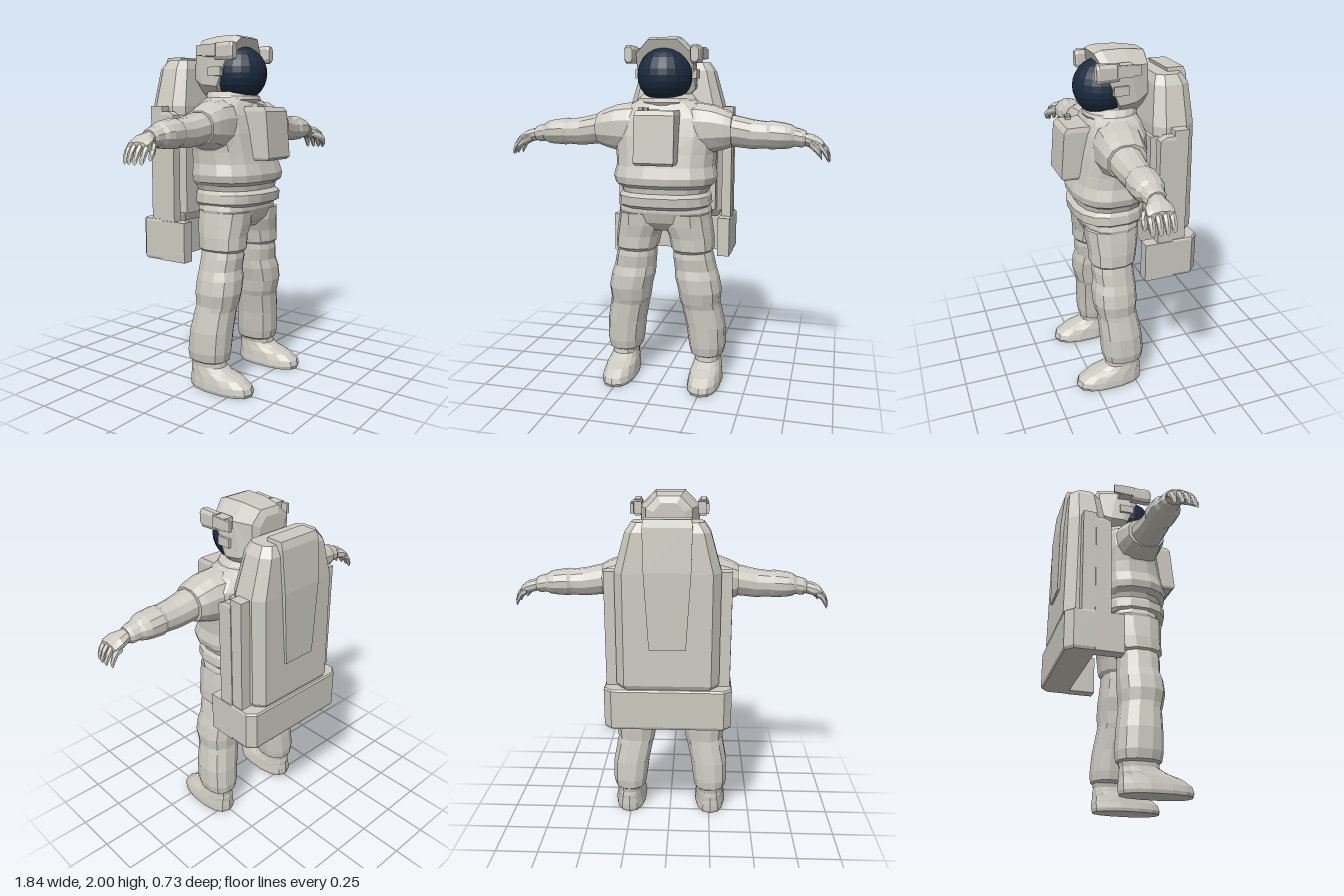
import * as THREE from 'three';

const suit = new THREE.MeshStandardMaterial({ color: 0xcccac0, flatShading: true });
suit.name = 'suit fabric';
const glass = new THREE.MeshStandardMaterial({ color: 0x1b2b40, flatShading: true });
glass.name = 'dark visor';

// Cross-section outlines on the unit square
function round(n, p = 1) {
  return Array.from({ length: n }, (_, i) => {
    const a = ((i + 0.5) / n) * Math.PI * 2, c = Math.cos(a), s = Math.sin(a);
    return [Math.sign(c) * Math.abs(c) ** p, Math.sign(s) * Math.abs(s) ** p];
  });
}
const chamfered = (k, m = k) => [[1, -m], [1, m], [k, 1], [-k, 1], [-1, m], [-1, -m], [-k, -1], [k, -1]];
const square = [[1, -1], [1, 1], [-1, 1], [-1, -1]];

// Skin a row of cross-sections. Each ring is [t, a0, a1, b0, b1]:
// axis y: a = x, b = z | axis x: a = z, b = y | axis z: a = y, b = x
function loft(axis, rings, outline = round(12)) {
  const put = { y: (t, a, b) => [a, t, b], x: (t, a, b) => [t, b, a], z: (t, a, b) => [b, a, t] }[axis];
  const n = outline.length, pos = [], idx = [];
  for (const [t, a0, a1, b0, b1] of rings)
    for (const [c, s] of outline)
      pos.push(...put(t, (a0 + a1) / 2 + (c * (a1 - a0)) / 2, (b0 + b1) / 2 + (s * (b1 - b0)) / 2));
  for (let i = 0; i < rings.length - 1; i++)
    for (let j = 0; j < n; j++) {
      const k = (j + 1) % n, A = i * n + j, B = i * n + k;
      idx.push(A, A + n, B, B, A + n, B + n);
    }
  const top = (rings.length - 1) * n;
  for (let j = 1; j < n - 1; j++) idx.push(0, j, j + 1, top, top + j + 1, top + j);
  const g = new THREE.BufferGeometry();
  g.setAttribute('position', new THREE.Float32BufferAttribute(pos, 3));
  g.setIndex(idx);
  return finish(g);
}
function finish(g) {
  const flat = g.index ? g.toNonIndexed() : g;
  flat.computeVertexNormals();
  return flat;
}
// Box from ranges
function block(x0, x1, y0, y1, z0, z1) {
  const g = new THREE.BoxGeometry(x1 - x0, y1 - y0, z1 - z0);
  return g.translate((x0 + x1) / 2, (y0 + y1) / 2, (z0 + z1) / 2);
}
// Mirror across x = 0 and restore the corner order
function mirrored(g) {
  const m = g.index ? g.toNonIndexed() : g.clone();
  m.scale(-1, 1, 1);
  const p = m.attributes.position;
  for (let i = 0; i < p.count; i += 3) {
    const b = [p.getX(i + 1), p.getY(i + 1), p.getZ(i + 1)];
    p.setXYZ(i + 1, p.getX(i + 2), p.getY(i + 2), p.getZ(i + 2));
    p.setXYZ(i + 2, ...b);
  }
  return finish(m);
}

export function createModel() {
  const model = new THREE.Group();
  model.name = 'astronaut';
  const add = (name, g, mat = suit) => {
    const mesh = new THREE.Mesh(g, mat);
    mesh.name = name;
    model.add(mesh);
  };
  const pair = (name, g) => {
    add(name + 'Left', g);
    add(name + 'Right', mirrored(g));
  };
  const sym = (t, r, b0, b1) => [t, -r, r, b0, b1];

  // Torso with a bulging belly fold, then belt and hips
  add('torso', loft('y', [
    sym(1.16, 0.25, -0.12, 0.26), sym(1.19, 0.29, -0.13, 0.3), sym(1.23, 0.3, -0.13, 0.305),
    sym(1.29, 0.285, -0.13, 0.285), sym(1.36, 0.29, -0.13, 0.27), sym(1.46, 0.31, -0.13, 0.25),
    sym(1.56, 0.29, -0.12, 0.225), sym(1.62, 0.235, -0.1, 0.2), sym(1.655, 0.17, -0.08, 0.18),
  ], round(16, 0.8)));
  add('belt', loft('y', [
    sym(1.05, 0.25, -0.11, 0.26), sym(1.07, 0.27, -0.12, 0.295), sym(1.12, 0.265, -0.12, 0.3),
    sym(1.14, 0.25, -0.11, 0.27), sym(1.18, 0.265, -0.12, 0.275),
  ], round(16, 0.8)));
  add('hips', loft('y', [
    sym(0.92, 0.18, 0, 0.19), sym(0.97, 0.255, -0.06, 0.235), sym(1.03, 0.27, -0.09, 0.255),
    sym(1.06, 0.26, -0.09, 0.255),
  ], round(16, 0.8)));
  add('collar', loft('y', [
    sym(1.62, 0.165, -0.09, 0.19), sym(1.645, 0.175, -0.1, 0.205), sym(1.665, 0.165, -0.1, 0.2),
    sym(1.69, 0.14, -0.1, 0.16),
  ], round(16)));

  // Legs
  pair('shortsLeg', loft('y', [
    [0.79, 0.06, 0.27, -0.02, 0.215], [0.81, 0.045, 0.29, -0.035, 0.235],
    [0.88, 0.03, 0.287, -0.045, 0.235], [0.95, 0.0, 0.277, -0.06, 0.245], [1.02, 0.01, 0.265, -0.06, 0.25],
  ], round(12, 0.85)));
  pair('leg', loft('y', [
    [0.15, 0.185, 0.32, -0.03, 0.15], [0.17, 0.155, 0.352, -0.055, 0.185], [0.22, 0.145, 0.362, -0.06, 0.195],
    [0.34, 0.13, 0.358, -0.05, 0.2], [0.46, 0.105, 0.335, -0.03, 0.205], [0.49, 0.095, 0.33, -0.025, 0.215],
    [0.56, 0.085, 0.337, -0.03, 0.23], [0.64, 0.065, 0.322, -0.03, 0.228], [0.69, 0.062, 0.305, -0.025, 0.215],
    [0.76, 0.055, 0.29, -0.02, 0.222], [0.84, 0.055, 0.27, -0.02, 0.21],
  ], round(12, 0.85)));
  pair('boot', loft('y', [
    [0, 0.165, 0.35, -0.045, 0.355], [0.018, 0.16, 0.355, -0.05, 0.362], [0.05, 0.165, 0.352, -0.05, 0.352],
    [0.085, 0.17, 0.345, -0.045, 0.3], [0.11, 0.178, 0.338, -0.045, 0.22], [0.135, 0.182, 0.332, -0.04, 0.175],
    [0.165, 0.175, 0.335, -0.045, 0.17],
  ], round(14, 0.85)));

  // Shoulder, sleeve and cuff
  pair('shoulder', loft('x', [
    [0.1, -0.08, 0.2, 1.36, 1.645], [0.2, -0.07, 0.215, 1.35, 1.645], [0.28, -0.05, 0.215, 1.365, 1.632],
    [0.35, -0.035, 0.21, 1.385, 1.605], [0.39, -0.02, 0.2, 1.4, 1.585],
  ], round(12, 0.85)));
  pair('sleeve', loft('x', [
    [0.37, 0, 0.19, 1.405, 1.575], [0.4, 0, 0.19, 1.4, 1.578], [0.5, 0.01, 0.18, 1.39, 1.555],
    [0.58, 0.015, 0.175, 1.395, 1.545], [0.6, 0.005, 0.185, 1.39, 1.55], [0.68, 0.01, 0.185, 1.395, 1.538],
    [0.71, 0.02, 0.175, 1.4, 1.53], [0.73, 0.035, 0.16, 1.41, 1.515], [0.77, 0.04, 0.155, 1.405, 1.505],
    [0.79, 0.055, 0.145, 1.415, 1.495],
  ]));
  // Glove with curled fingers
  pair('palm', loft('x', [
    [0.77, 0.06, 0.14, 1.42, 1.49], [0.8, 0.055, 0.15, 1.41, 1.485], [0.84, 0.04, 0.18, 1.4, 1.475],
    [0.87, 0.04, 0.185, 1.395, 1.455], [0.885, 0.05, 0.18, 1.395, 1.44],
  ], round(10)));
  for (let i = 0; i < 4; i++) {
    const z = 0.056 + i * 0.037, r = 0.017, d = [0.012, 0, 0, 0.008][i];
    pair('finger' + (i + 1), loft('x', [
      [0.86 - d, z - r, z + r, 1.4, 1.44], [0.888 - d, z - r, z + r, 1.385, 1.432],
      [0.91 - d, z - r, z + r, 1.352, 1.405], [0.922 - d, z - r * 0.8, z + r * 0.8, 1.332, 1.37],
    ], round(6)));
  }
  pair('thumb', loft('x', [
    [0.81, 0.12, 0.155, 1.41, 1.46], [0.84, 0.155, 0.197, 1.39, 1.44],
    [0.868, 0.172, 0.21, 1.365, 1.41], [0.88, 0.18, 0.205, 1.35, 1.385],
  ], round(6)));

  // Helmet shell, its front rim sheared forward at the top
  const shell = loft('z', [
    [-0.14, 1.74, 1.95, -0.085, 0.085], [-0.125, 1.7, 1.985, -0.125, 0.125], [-0.04, 1.65, 2.0, -0.155, 0.155],
    [0.05, 1.64, 2.0, -0.167, 0.167], [0.085, 1.64, 1.985, -0.163, 0.163],
  ], chamfered(0.55, 0.5));
  const sp = shell.attributes.position;
  for (let i = 0; i < sp.count; i++) {
    const z = sp.getZ(i);
    sp.setZ(i, z + (sp.getY(i) - 1.8) * 0.4 * ((z + 0.14) / 0.21));
  }
  add('helmetShell', finish(shell));
  const visor = new THREE.SphereGeometry(0.155, 20, 14);
  add('visor', visor.translate(0, 1.792, 0.1), glass);
  pair('lamp', loft('z', [
    [0.065, 1.86, 1.95, 0.16, 0.21], [0.175, 1.855, 1.955, 0.16, 0.214], [0.19, 1.865, 1.945, 0.165, 0.208],
  ], chamfered(0.6)));
  pair('lampArm', block(0.155, 0.215, 1.88, 1.945, -0.01, 0.08));
  pair('lampRail', block(0.198, 0.216, 1.885, 1.94, -0.05, 0.07));
  pair('visorHinge', block(0.145, 0.178, 1.775, 1.825, 0, 0.085));

  // Chest control box with small knobs
  add('chestBox', loft('y', [
    sym(1.31, 0.105, 0.2, 0.35), sym(1.325, 0.112, 0.2, 0.368), sym(1.58, 0.112, 0.2, 0.345),
    sym(1.605, 0.105, 0.2, 0.325),
  ], square));
  add('chestKnobLarge', block(-0.105, -0.08, 1.59, 1.622, 0.25, 0.285));
  add('chestKnobSmall', block(-0.07, -0.05, 1.59, 1.618, 0.26, 0.29));

  // Backpack
  add('packBody', loft('y', [
    sym(0.95, 0.265, -0.335, -0.13), sym(0.99, 0.285, -0.355, -0.12), sym(1.61, 0.285, -0.345, -0.11),
    sym(1.82, 0.225, -0.33, -0.135), sym(1.87, 0.19, -0.3, -0.155),
  ], chamfered(0.84, 0.5)));
  add('packPanel', loft('y', [
    sym(1.2, 0.1, -0.365, -0.3), sym(1.62, 0.125, -0.366, -0.3), sym(1.85, 0.13, -0.345, -0.24),
    sym(1.89, 0.125, -0.33, -0.23),
  ], square));
  add('packMount', block(-0.26, 0.26, 1.0, 1.56, -0.2, -0.09));
  pair('packRail', loft('y', [
    [0.95, 0.295, 0.35, -0.2, -0.11], [1.56, 0.295, 0.35, -0.2, -0.11], [1.58, 0.295, 0.345, -0.2, -0.15],
  ], square));
  pair('packRailRear', block(0.275, 0.345, 0.95, 1.61, -0.275, -0.195));

  // Lower thruster base: back bar with side blocks reaching forward
  add('packBase', loft('y', [
    sym(0.73, 0.35, -0.355, -0.19), sym(0.745, 0.356, -0.362, -0.19),
    sym(0.955, 0.356, -0.362, -0.19), sym(0.965, 0.35, -0.355, -0.19),
  ], [[1, -0.5], [1, 1], [-1, 1], [-1, -0.5], [-0.88, -1], [0.88, -1]]));
  pair('packBaseArm', block(0.285, 0.356, 0.73, 0.96, -0.2, -0.035));
  return model;
}
